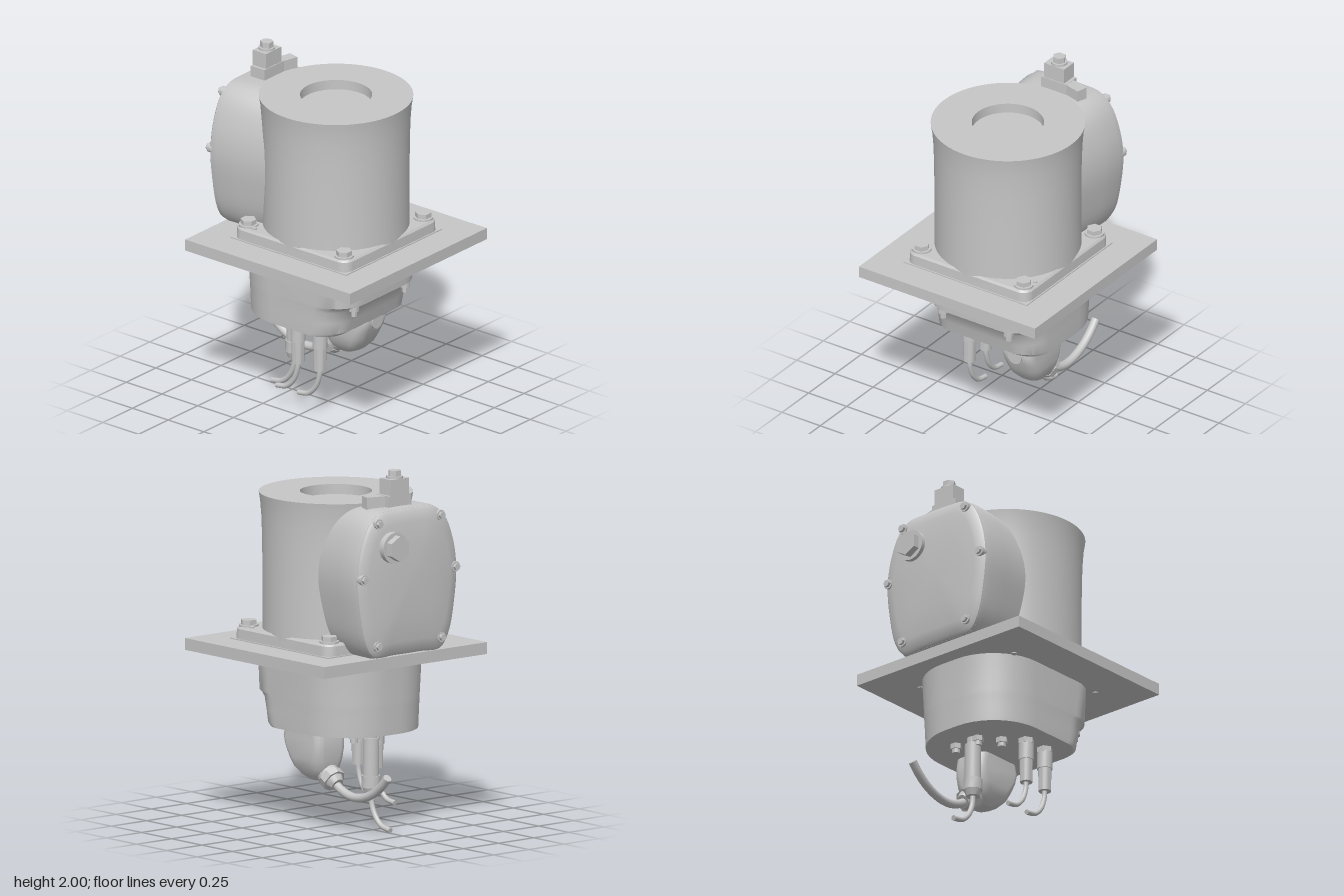
import * as THREE from 'three';
import { toCreasedNormals } from 'three/addons/utils/BufferGeometryUtils.js';

const CX = 0.055; // axis of the drum

export function createModel() {
  const model = new THREE.Group();
  const grey = new THREE.MeshStandardMaterial({ color: 0xc6c6c6 });
  grey.name = 'machine grey';

  const add = (name, geo, x = 0, y = 0, z = 0, parent = model) => {
    const m = new THREE.Mesh(geo, grey);
    m.name = name;
    m.position.set(x, y, z);
    parent.add(m);
    return m;
  };
  const box = (name, x0, x1, y0, y1, z0, z1) =>
    add(name, new THREE.BoxGeometry(x1 - x0, y1 - y0, z1 - z0), (x0 + x1) / 2, (y0 + y1) / 2, (z0 + z1) / 2);
  // upright cylinder or hexagon from y0 to y1
  const post = (name, x, z, y0, y1, r, sides = 24, rTop = r) =>
    add(name, creased(new THREE.CylinderGeometry(rTop, r, y1 - y0, sides)), x, (y0 + y1) / 2, z);
  // cylinder along x from x0 to x1
  const peg = (name, x0, x1, y, z, r, sides = 24) => {
    const m = add(name, creased(new THREE.CylinderGeometry(r, r, x1 - x0, sides)), (x0 + x1) / 2, y, z);
    m.rotation.z = Math.PI / 2;
    return m;
  };
  const tube = (name, pts, r) => {
    const curve = new THREE.CatmullRomCurve3(pts.map(p => new THREE.Vector3(...p)));
    add(name, new THREE.TubeGeometry(curve, 32, r, 12));
    const end = add(name + 'End', new THREE.CircleGeometry(r, 12));
    end.position.copy(curve.getPoint(1));
    end.lookAt(curve.getPoint(1).add(curve.getTangent(1)));
  };

  // mounting plate and gasket
  box('mountingPlate', -0.523, 0.632, 0.935, 1.0, -0.578, 0.578);
  box('gasket', -0.35, 0.46, 0.998, 1.006, -0.405, 0.405);

  // square flange with its four corner bolts
  add('flange', loft([
    slab(1.0, -0.343, 0.453, 0.398, 0.06), slab(1.06, -0.341, 0.451, 0.396, 0.06),
    slab(1.072, -0.332, 0.442, 0.387, 0.055)]));
  for (const x of [-0.28, 0.388]) for (const z of [-0.335, 0.335]) {
    post('flangeWasher', x, z, 1.068, 1.082, 0.053);
    post('flangeBolt', x, z, 1.08, 1.108, 0.044, 6);
    post('boltEnd', x, z, 0.93, 0.94, 0.016, 16);
  }
  post('locatingPin', 0.325, -0.365, 1.06, 1.08, 0.014, 12);
  post('locatingPin', -0.22, 0.36, 1.06, 1.08, 0.014, 12);

  // flared drum with a shallow recess on top
  const drum = [[0.397, 1.0], [0.396, 1.3], [0.398, 1.55], [0.402, 1.68], [0.409, 1.77],
    [0.417, 1.82], [0.195, 1.82], [0.195, 1.765], [0, 1.765]].map(p => new THREE.Vector2(...p));
  add('drum', creased(new THREE.LatheGeometry(drum, 72)), CX);

  // side housing with domed cover
  const half = [[0.1, 1.0], [0.24, 1.003], [0.30, 1.08], [0.345, 1.28], [0.358, 1.45],
    [0.335, 1.6], [0.275, 1.74], [0.2, 1.8], [0.08, 1.81]];
  const loop = [...half, ...half.map(([z, y]) => [-z, y]).reverse()];
  const outline = new THREE.CatmullRomCurve3(loop.map(([z, y]) => new THREE.Vector3(0, y, z)), true);
  const outlinePts = outline.getPoints(90).slice(0, 90);
  const ring = (x, sz, s = 1) => outlinePts.map(p =>
    new THREE.Vector3(x, 1.42 + (p.y - 1.42) * s, p.z * sz * s));
  add('sideHousing', loft([ring(-0.15, 0.95, 0.94), ring(-0.2, 0.955, 0.955), ring(-0.36, 0.965, 0.995),
    ring(-0.49, 1, 0.995), ring(-0.525, 1, 0.98)]));
  add('housingCover', loft([ring(-0.52, 1, 0.98), ring(-0.534, 1, 0.975), ring(-0.546, 1, 0.94),
    ring(-0.558, 1, 0.8), ring(-0.569, 1, 0.5), ring(-0.575, 1, 0.15)]));
  for (const s of [-1, 1]) for (const [y, z] of [[1.745, 0.22], [1.45, 0.325], [1.075, 0.225]]) {
    peg('coverBoltBoss', -0.56, -0.52, y, z * s, 0.028, 20);
    peg('coverBolt', -0.575, -0.55, y, z * s, 0.02, 6);
  }
  peg('plugCollar', -0.595, -0.54, 1.61, -0.135, 0.085, 32);
  peg('plugHead', -0.635, -0.59, 1.61, -0.135, 0.07, 6).rotateY(Math.PI / 6);

  // clamp on top of the housing
  box('clampBase', -0.475, -0.377, 1.78, 1.87, -0.083, 0.083);
  box('clampBlock', -0.475, -0.382, 1.86, 1.957, -0.065, 0.065);
  const lug = box('clampLug', -0.435, -0.37, 1.79, 1.868, -0.18, -0.07);
  lug.rotation.y = -0.25;
  post('clampWasher', -0.43, 0, 1.955, 1.968, 0.045);
  post('clampBolt', -0.43, 0, 1.965, 2.0, 0.036, 6);

  // lower body, undercut on the left side and well rounded on the right
  add('lowerBody', loft([
    slab(0.545, -0.413, 0.28, 0.346, 0.14, 0.3), slab(0.565, -0.414, 0.308, 0.347, 0.15, 0.3),
    slab(0.63, -0.416, 0.325, 0.348, 0.16, 0.3), slab(0.7, -0.419, 0.345, 0.35, 0.17, 0.3),
    slab(0.722, -0.42, 0.37, 0.351, 0.18, 0.3), slab(0.735, -0.42, 0.393, 0.351, 0.18, 0.3),
    slab(0.936, -0.43, 0.40, 0.356, 0.18, 0.3)]));
  for (const z of [-0.215, 0.215]) {
    post('undercutBoltHead', 0.358, z, 0.705, 0.74, 0.028);
    post('undercutBolt', 0.358, z, 0.672, 0.71, 0.017, 6);
  }

  // two slim connectors with hanging cables
  for (const x of [-0.038, 0.115]) {
    post('connectorNut', x, 0.21, 0.515, 0.55, 0.045, 6);
    post('connectorUpper', x, 0.21, 0.42, 0.52, 0.041);
    post('connectorLower', x, 0.21, 0.29, 0.43, 0.034, 24, 0.036);
    tube('slimCable', [[x, 0.3, 0.21], [x - 0.004, 0.25, 0.21], [x - 0.03, 0.18, 0.21],
      [x - 0.08, 0.13, 0.21], [x - 0.15, 0.115, 0.21]], 0.014);
  }

  // long connector with its cable
  post('longConnectorNut', -0.235, 0, 0.5, 0.55, 0.032);
  post('longConnectorBody', -0.235, 0, 0.29, 0.505, 0.044);
  post('longConnectorCollar', -0.235, 0, 0.235, 0.3, 0.052, 12);
  post('longConnectorTip', -0.235, 0, 0.2, 0.24, 0.036, 24, 0.05);
  tube('longCable', [[-0.235, 0.21, 0], [-0.24, 0.15, 0], [-0.268, 0.085, 0],
    [-0.32, 0.035, 0], [-0.395, 0.017, 0]], 0.015);

  // small drain stubs
  for (const [x, z] of [[-0.135, 0.12], [-0.235, 0.035], [-0.235, -0.12]]) {
    post('drainStubNut', x, z, 0.515, 0.55, 0.032, 6);
    post('drainStub', x, z, 0.492, 0.52, 0.022);
  }

  // angled plug with gland and heavy cable
  const EZ = -0.155;
  add('angledPlug', loft([
    slab(0.265, -0.03, 0.06, 0.045, 0.035), slab(0.29, -0.07, 0.11, 0.07, 0.055),
    slab(0.33, -0.085, 0.15, 0.092, 0.06), slab(0.38, -0.095, 0.175, 0.104, 0.06),
    slab(0.44, -0.1, 0.2, 0.106, 0.05), slab(0.49, -0.1, 0.215, 0.106, 0.05),
    slab(0.55, -0.09, 0.2, 0.106, 0.05)]), 0, 0, EZ);
  peg('plugScrew', 0.19, 0.218, 0.482, EZ, 0.045);
  const gland = new THREE.Group();
  gland.name = 'cableGland';
  gland.position.set(-0.02, 0.325, EZ);
  gland.rotation.z = Math.PI / 2 + 0.55; // local +y runs out along the cable
  model.add(gland);
  for (const [y, h, r0, r1, n] of [[0.03, 0.08, 0.062, 0.062, 24], [0.085, 0.045, 0.068, 0.068, 8], [0.12, 0.04, 0.058, 0.036, 24]])
    add('glandRing', creased(new THREE.CylinderGeometry(r1, r0, h, n)), 0, y, 0, gland);
  tube('heavyCable', [[-0.1, 0.275, EZ], [-0.16, 0.232, EZ], [-0.25, 0.203, EZ], [-0.34, 0.207, EZ],
    [-0.43, 0.24, EZ], [-0.5, 0.29, EZ], [-0.552, 0.345, EZ]], 0.024);

  return model;
}

function creased(geo) {
  return toCreasedNormals(geo, 0.6);
}

// rounded rectangle at height y, from x0 to x1 and -hz to hz; corner radius r at x1, r0 at x0
function slab(y, x0, x1, hz, r, r0 = r, n = 10) {
  const pts = [];
  [[x1 - r, hz - r, r], [x0 + r0, hz - r0, r0], [x0 + r0, r0 - hz, r0], [x1 - r, r - hz, r]].forEach(([cx, cz, rad], q) => {
    for (let i = 0; i <= n; i++) {
      const a = (q + i / n) * Math.PI / 2;
      pts.push(new THREE.Vector3(cx + rad * Math.cos(a), y, -(cz + rad * Math.sin(a))));
    }
  });
  return pts;
}

// skin over matching rings, capped at both ends
function loft(rings) {
  const n = rings[0].length, last = rings.length - 1;
  const mid = r => r.reduce((s, p) => s.add(p), new THREE.Vector3()).divideScalar(n);
  const pts = [...rings.flat(), mid(rings[0]), mid(rings[last])];
  const idx = [];
  for (let i = 0; i < n; i++) {
    const j = (i + 1) % n;
    for (let k = 0; k < last; k++) {
      const a = k * n + i, b = k * n + j;
      idx.push(a, b, b + n, a, b + n, a + n);
    }
    idx.push(pts.length - 2, j, i, pts.length - 1, last * n + i, last * n + j);
  }
  const geo = new THREE.BufferGeometry().setFromPoints(pts);
  geo.setIndex(idx);
  return creased(geo);
}
